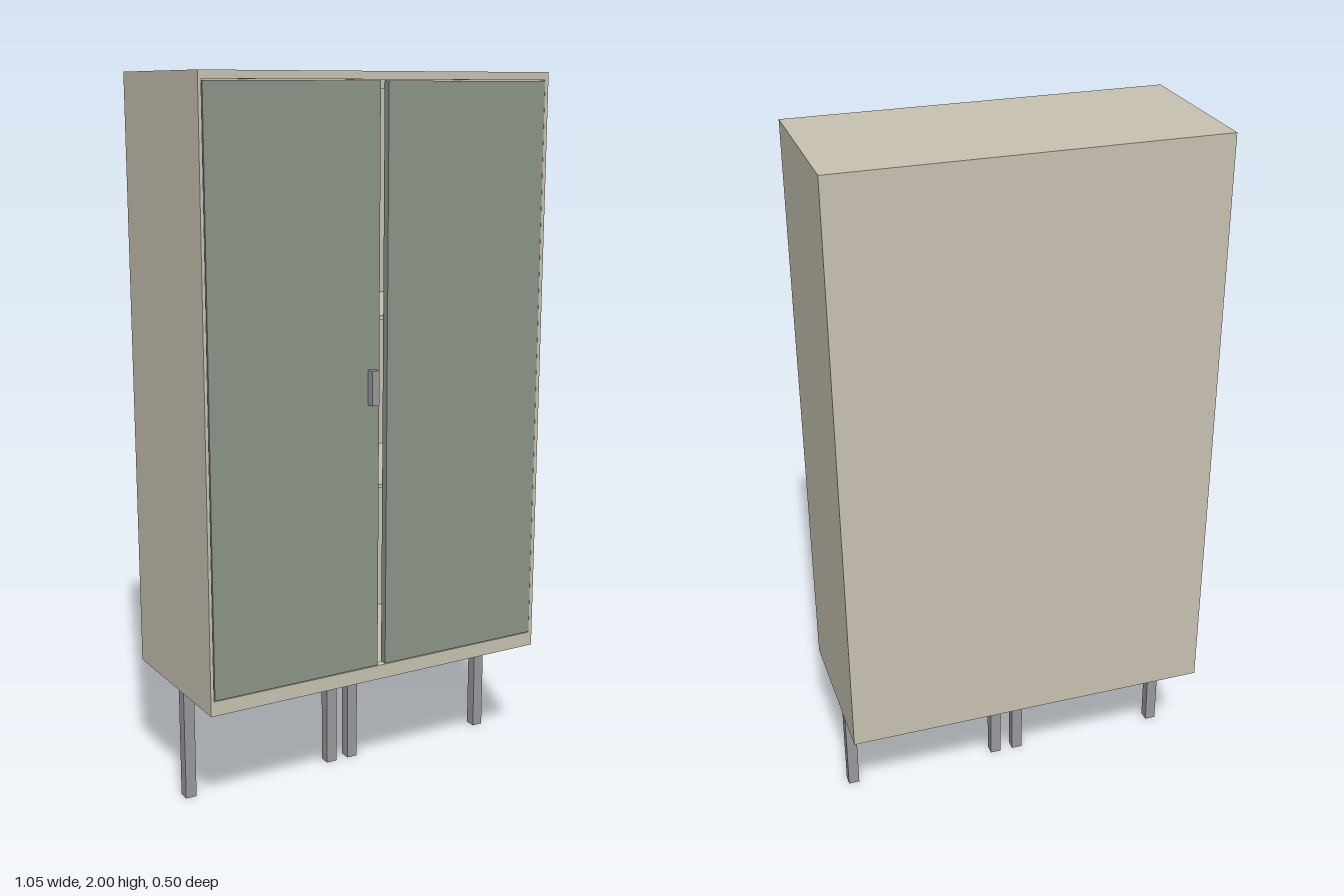
import * as THREE from 'three';

const beige = new THREE.MeshStandardMaterial({ color: 0xc6c1b0 });
const sage = new THREE.MeshStandardMaterial({ color: 0x8b9488 });
const metal = new THREE.MeshStandardMaterial({ color: 0x98989c });

// Box given by its extents along each axis
function slab(group, name, material, [x0, x1], [y0, y1], [z0, z1]) {
  const mesh = new THREE.Mesh(new THREE.BoxGeometry(x1 - x0, y1 - y0, z1 - z0), material);
  mesh.position.set((x0 + x1) / 2, (y0 + y1) / 2, (z0 + z1) / 2);
  mesh.name = name;
  group.add(mesh);
}

// Rectangular outline for a shape or a hole
function rect(path, x0, x1, y0, y1) {
  path.moveTo(x0, y0);
  path.lineTo(x1, y0);
  path.lineTo(x1, y1);
  path.lineTo(x0, y1);
  path.closePath();
  return path;
}

export function createModel() {
  const cabinet = new THREE.Group();
  cabinet.name = 'cabinet';
  const W = 0.527, bottom = 0.335, top = 2, back = -0.248, front = 0.223, inner = 0.2;
  const t = 0.025;

  // Carcass panels
  const body = new THREE.Group();
  body.name = 'carcass';
  cabinet.add(body);
  slab(body, 'topPanel', beige, [-W, W], [1.955, top], [back, inner]);
  slab(body, 'bottomPanel', beige, [-W, W], [bottom, 0.365], [back, inner]);
  slab(body, 'leftSide', beige, [W - t, W], [0.365, 1.955], [back, inner]);
  slab(body, 'rightSide', beige, [-W, -W + t], [0.365, 1.955], [back, inner]);
  slab(body, 'backPanel', beige, [-W + t, W - t], [0.365, 1.955], [back, back + 0.012]);

  // Thin front rim around the inset doors
  const rim = rect(new THREE.Shape(), -W, W, bottom, top);
  rim.holes.push(rect(new THREE.Path(), -0.518, 0.516, 0.376, 1.979));
  const rimMesh = new THREE.Mesh(
    new THREE.ExtrudeGeometry(rim, { depth: front - inner, bevelEnabled: false }), beige);
  rimMesh.position.z = inner;
  rimMesh.name = 'frontRim';
  body.add(rimMesh);

  // Shelves seen through the gap between the doors
  for (const y of [0.885, 1.355]) {
    slab(body, 'shelf', beige, [-W + t, W - t], [y - 0.005, y + 0.005], [back + 0.012, 0.18]);
  }

  // Doors and the single handle
  slab(cabinet, 'rightDoor', sage, [-0.516, -0.013], [0.379, 1.976], [inner + 0.003, 0.225]);
  slab(cabinet, 'leftDoor', sage, [0.012, 0.514], [0.379, 1.976], [inner + 0.003, 0.225]);
  slab(cabinet, 'handle', metal, [-0.048, -0.026], [1.13, 1.225], [0.225, 0.248]);

  // Four square legs in a row under the middle
  for (const x of [-0.494, -0.036, 0.034, 0.492]) {
    slab(cabinet, 'leg', metal, [x - 0.016, x + 0.016], [0, bottom], [-0.027, 0.005]);
  }
  return cabinet;
}
